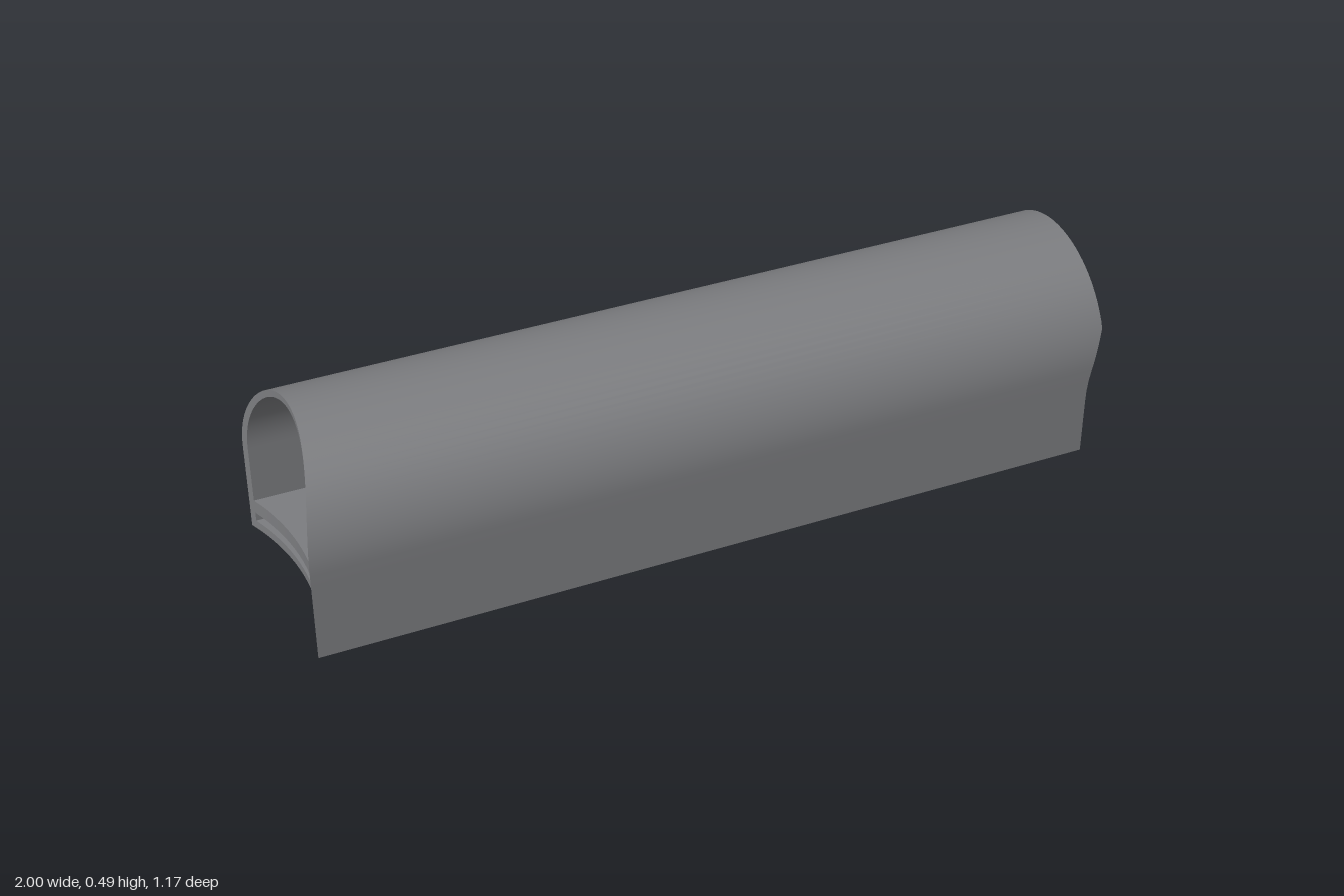
import * as THREE from 'three';
import { toCreasedNormals } from 'three/addons/utils/BufferGeometryUtils.js';

const HALF = 0.258, SPRING = 0.228, WALL = 0.016, R = 0.62;

// Start end: coped by an upright cylinder
const startAt = (z) => -1.531 + Math.sqrt(R * R - z * z);

// Far end: coped by a dome that curls in with height, flat above it
function endAt(z, y) {
  const h = Math.max(0, y - 0.15);
  const drop = 0.38 - Math.sqrt(Math.max(0, 0.38 * 0.38 - h * h));
  const r = R - drop;
  return Math.min(0.985, 1.509 - Math.sqrt(r * r - z * z));
}

// Arched cross-section as [z, y] points: floor, wall, vault, wall
function archLoop(w, floorY) {
  const pts = [];
  for (let i = 0; i < 20; i++) pts.push([-w + (2 * w * i) / 20, floorY]);
  for (let i = 0; i < 8; i++) pts.push([w, floorY + ((SPRING - floorY) * i) / 8]);
  for (let i = 0; i < 48; i++) {
    const a = (Math.PI * i) / 48;
    pts.push([w * Math.cos(a), SPRING + w * Math.sin(a)]);
  }
  for (let i = 0; i < 8; i++) pts.push([-w, SPRING + ((floorY - SPRING) * i) / 8]);
  return pts;
}

// Solid between two matching rows of points, run from one coped end to the other
function copedSolid(outer, inner, closed) {
  const pos = [];
  const quad = (a, b, c, d) => pos.push(...a, ...b, ...c, ...a, ...c, ...d);
  const s = ([z, y]) => [startAt(z), y, z];
  const e = ([z, y]) => [endAt(z, y), y, z];
  const n = outer.length;
  for (let i = 0; i < (closed ? n : n - 1); i++) {
    const j = (i + 1) % n;
    const a = outer[i], b = outer[j], c = inner[i], d = inner[j];
    quad(s(a), e(a), e(b), s(b));
    quad(s(c), s(d), e(d), e(c));
    quad(e(a), e(c), e(d), e(b));
    quad(s(a), s(b), s(d), s(c));
  }
  const geo = new THREE.BufferGeometry();
  geo.setAttribute('position', new THREE.Float32BufferAttribute(pos, 3));
  return toCreasedNormals(geo, 0.5);
}

export function createModel() {
  const model = new THREE.Group();
  model.name = 'archedCorridor';
  const gray = new THREE.MeshStandardMaterial({ color: 0x7c7d80 });
  gray.name = 'steel gray';

  const corridor = new THREE.Group();
  corridor.name = 'corridor';
  corridor.rotation.y = 0.366;
  model.add(corridor);

  // Outer shell with vaulted roof and base
  const shell = new THREE.Mesh(
    copedSolid(archLoop(HALF, 0), archLoop(HALF - WALL, 0.022), true), gray);
  shell.name = 'shell';
  corridor.add(shell);

  // Raised floor with a gap beneath it
  const row = (y) => Array.from({ length: 21 }, (_, i) =>
    [(HALF - WALL) * (i / 10 - 1), y]);
  const deck = new THREE.Mesh(copedSolid(row(0.045), row(0.08), false), gray);
  deck.name = 'floorDeck';
  corridor.add(deck);

  return model;
}
